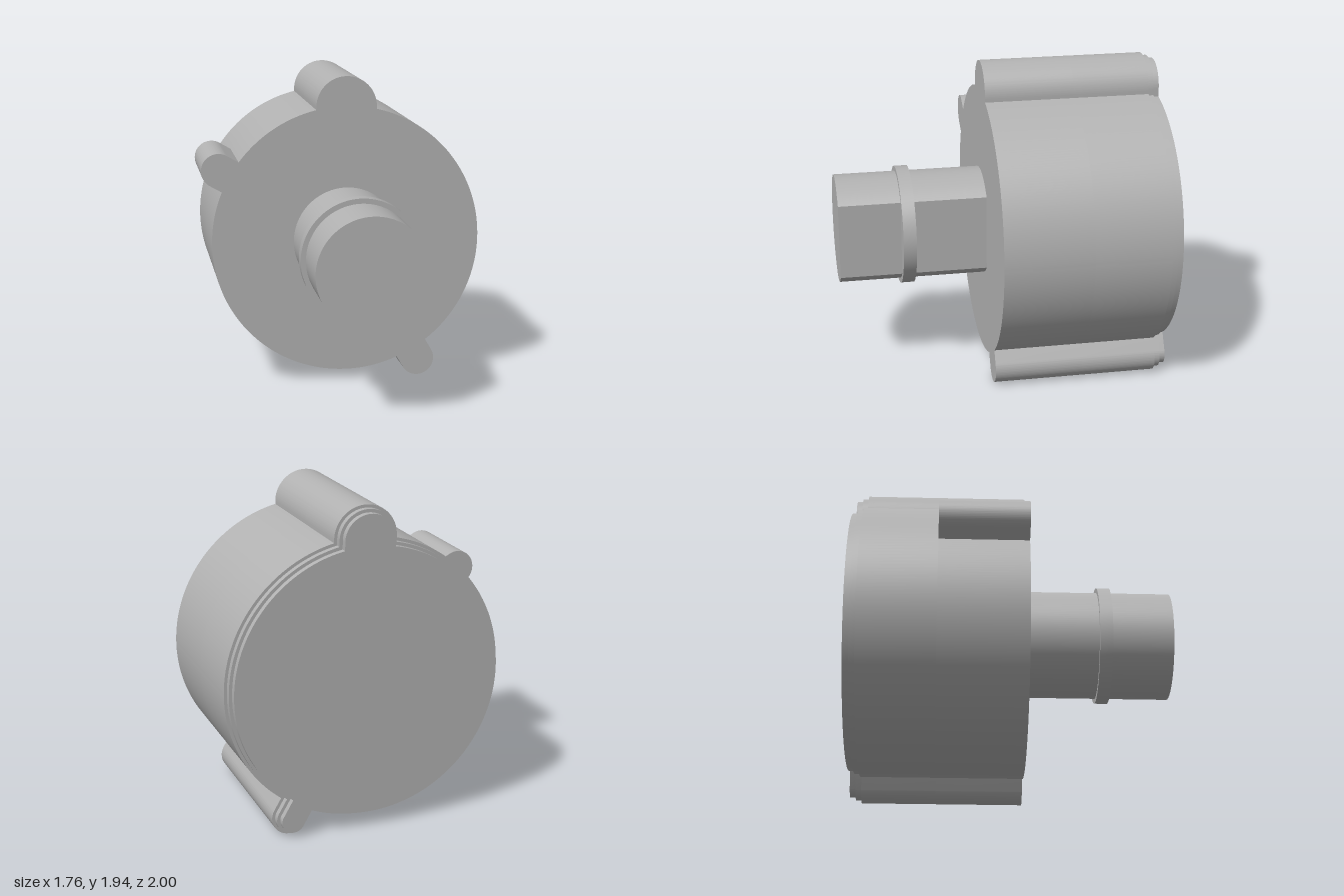
import * as THREE from 'three';
import { toCreasedNormals } from 'three/addons/utils/BufferGeometryUtils.js';

const CX = 0.027, CY = 0.912; // shared axis of housing and shaft
const BODY_R = 0.848;
const rad = THREE.MathUtils.degToRad;

// Screw lobes around the housing: angle, distance from axis, radius
const lowerLobe = { angle: rad(-60), dist: 0.925, r: 0.107 };
const topLobe = { angle: rad(90), dist: 0.843, r: 0.19 };
const sideLobe = { angle: rad(150), dist: 0.925, r: 0.107 };

// Circle with rounded lobes (sorted by angle), drawn in by an inset
function housingOutline(lobes, inset = 0) {
  const shape = new THREE.Shape();
  const R = BODY_R - inset;
  const half = (l) => Math.asin((l.r - inset) / R);
  lobes.forEach((l, i) => {
    const next = lobes[(i + 1) % lobes.length];
    const turn = i === lobes.length - 1 ? Math.PI * 2 : 0;
    shape.absarc(l.dist * Math.cos(l.angle), l.dist * Math.sin(l.angle), l.r - inset,
      l.angle - Math.PI / 2, l.angle + Math.PI / 2, false);
    shape.absarc(0, 0, R, l.angle + half(l), next.angle + turn - half(next), false);
  });
  shape.closePath();
  return shape;
}

export function createModel() {
  const group = new THREE.Group();
  const grey = new THREE.MeshStandardMaterial({ color: 0xb2b2b2 });
  grey.name = 'plain grey';

  // Extrude a shape along z between two depths
  function addPart(name, shape, zBack, zFront) {
    const geo = new THREE.ExtrudeGeometry(shape, {
      depth: zFront - zBack, bevelEnabled: false, curveSegments: 56,
    });
    const mesh = new THREE.Mesh(toCreasedNormals(geo, rad(25)), grey);
    mesh.name = name;
    mesh.position.set(CX, CY, zBack);
    group.add(mesh);
  }

  // Housing: the side lobe covers only the front half
  const longLobes = [lowerLobe, topLobe];
  addPart('housingFront', housingOutline([lowerLobe, topLobe, sideLobe]), -0.455, 0.09);
  addPart('housingRear', housingOutline(longLobes), -0.925, -0.455);

  // Two shallow steps at the back
  addPart('rearStepOuter', housingOutline(longLobes, 0.018), -0.962, -0.925);
  addPart('rearStepInner', housingOutline(longLobes, 0.037), -1, -0.962);

  // D-shaped shaft with its flat on the left
  const flat = Math.acos(0.24 / 0.336);
  const shaft = new THREE.Shape();
  shaft.absarc(0, 0, 0.336, flat, Math.PI * 2 - flat, false);
  shaft.closePath();
  addPart('shaft', shaft, 0.09, 1);

  // Round collar on the shaft
  const collar = new THREE.Shape();
  collar.absarc(0, 0, 0.367, 0, Math.PI * 2, false);
  addPart('collar', collar, 0.54, 0.62);

  return group;
}
